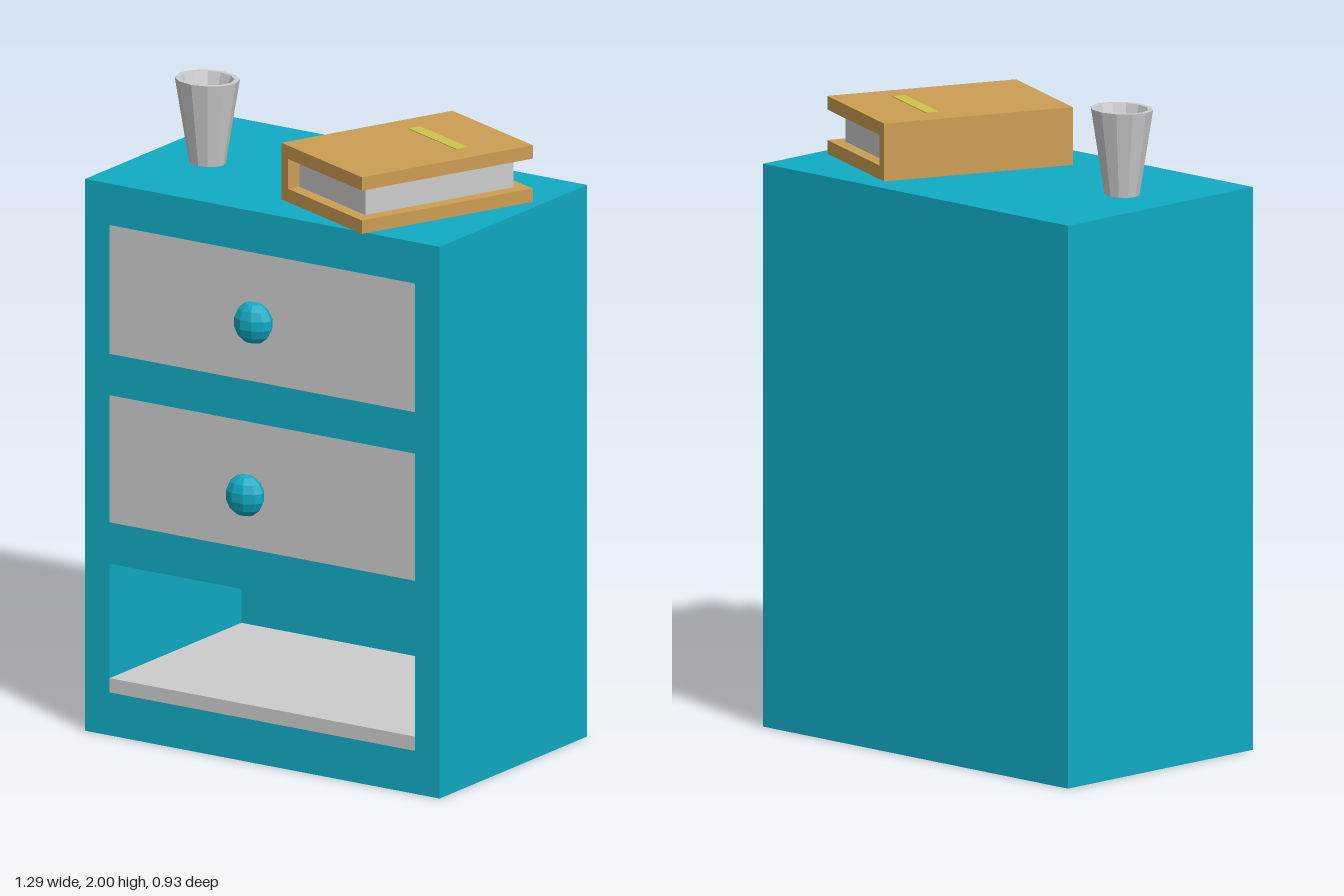
import * as THREE from 'three';

const material = (color) => new THREE.MeshStandardMaterial({ color, flatShading: true });

function add(parent, name, geometry, mat, x = 0, y = 0, z = 0) {
  const mesh = new THREE.Mesh(geometry, mat);
  mesh.name = name;
  mesh.position.set(x, y, z);
  parent.add(mesh);
  return mesh;
}

const rectangle = (Type, x, y0, y1) =>
  new Type([[-x, y0], [x, y0], [x, y1], [-x, y1]].map(([a, b]) => new THREE.Vector2(a, b)));

export function createModel() {
  const group = new THREE.Group();
  group.name = 'bedsideCabinet';
  const teal = material(0x10abc3);
  const grey = material(0xcccccc);
  const tan = material(0xcc9e54);
  const yellow = material(0xccc34a);

  const front = 0.33, back = -0.465, inner = -0.38, height = 1.735;
  const depth = front - inner;
  const openings = [[0.135, 0.54], [0.67, 1.07], [1.2, 1.605]];

  // Cabinet frame with three openings, closed by a back panel
  const outline = rectangle(THREE.Shape, 0.645, 0, height);
  outline.holes = openings.map(([y0, y1]) => rectangle(THREE.Path, 0.555, y0, y1));
  add(group, 'cabinetFrame', new THREE.ExtrudeGeometry(outline, { depth, bevelEnabled: false }), teal, 0, 0, inner);
  add(group, 'backPanel', new THREE.BoxGeometry(1.29, height, inner - back), teal, 0, height / 2, (inner + back) / 2);

  // Low shelf board in the open bay
  add(group, 'shelfBoard', new THREE.BoxGeometry(1.11, 0.045, depth), grey, 0, 0.1575, (front + inner) / 2);

  // Two closed drawers, flush with the frame
  openings.slice(1).forEach(([y0, y1]) => {
    add(group, 'drawer', new THREE.BoxGeometry(1.11, y1 - y0, depth), grey, 0, (y0 + y1) / 2, (front + inner) / 2);
  });

  // Flattened faceted knobs
  [[0.87, 0.423], [1.402, 0.379]].forEach(([y, z]) => {
    add(group, 'drawerKnob', new THREE.SphereGeometry(0.066, 10, 7), teal, 0, y, z).scale.z = 0.69;
  });

  // Tapered cup with a conical hollow
  const profile = [[0, 0], [0.058, 0], [0.103, 0.265], [0.086, 0.265], [0, 0.03]];
  const cup = add(group, 'cup',
    new THREE.LatheGeometry(profile.map(([r, y]) => new THREE.Vector2(r, y)), 12),
    grey, -0.438, height, -0.023);
  cup.scale.z = 0.85;

  // Book lying at an angle: covers, spine, pages and title strip
  const book = new THREE.Group();
  book.name = 'book';
  book.position.set(0.289, height, -0.023);
  book.rotation.y = -Math.PI / 8;
  group.add(book);
  const coverShape = new THREE.Shape([
    [-0.22, 0], [0.22, 0], [0.22, 0.042], [-0.183, 0.042],
    [-0.183, 0.136], [0.22, 0.136], [0.22, 0.178], [-0.22, 0.178],
  ].map(([x, y]) => new THREE.Vector2(x, y)));
  add(book, 'bookCover', new THREE.ExtrudeGeometry(coverShape, { depth: 0.618, bevelEnabled: false }), tan, 0, 0, -0.309);
  add(book, 'bookPages', new THREE.BoxGeometry(0.36, 0.094, 0.536), grey, -0.003, 0.089, 0);
  add(book, 'titleStrip', new THREE.BoxGeometry(0.262, 0.004, 0.042), yellow, 0, 0.178, -0.112);

  return group;
}
